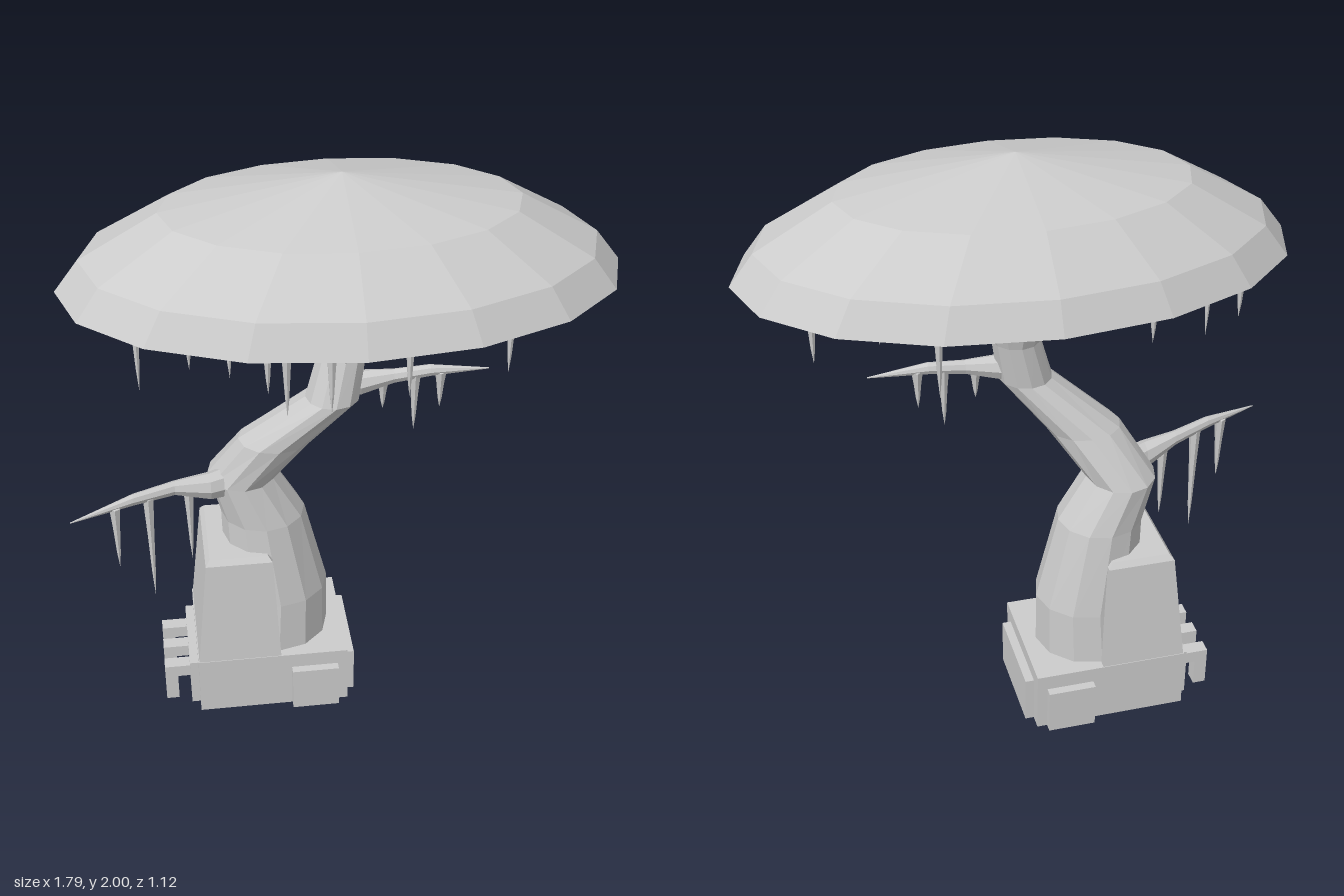
import * as THREE from 'three';

const mat = new THREE.MeshStandardMaterial({ color: 0xcccccc, flatShading: true, side: THREE.DoubleSide });

function add(parent, name, geo, x = 0, y = 0, z = 0) {
  const m = new THREE.Mesh(geo, mat);
  m.name = name;
  m.position.set(x, y, z);
  parent.add(m);
  return m;
}

// Skin a list of rings (arrays of [x, y, z]) and optionally cap both ends
function loft(rings, capStart = true, capEnd = true) {
  const n = rings[0].length, pos = rings.flat(2), idx = [];
  for (let r = 0; r < rings.length - 1; r++)
    for (let i = 0; i < n; i++) {
      const a = r * n + i, b = r * n + (i + 1) % n;
      idx.push(a, a + n, b, b, a + n, b + n);
    }
  const cap = (ring, start, flip) => {
    const c = pos.length / 3;
    pos.push(...[0, 1, 2].map(k => ring.reduce((s, p) => s + p[k], 0) / n));
    for (let i = 0; i < n; i++) {
      const p = start + i, q = start + (i + 1) % n;
      flip ? idx.push(c, p, q) : idx.push(c, q, p);
    }
  };
  if (capStart) cap(rings[0], 0, true);
  if (capEnd) cap(rings[rings.length - 1], (rings.length - 1) * n, false);
  const g = new THREE.BufferGeometry();
  g.setAttribute('position', new THREE.Float32BufferAttribute(pos, 3));
  g.setIndex(idx);
  g.computeVertexNormals();
  return g;
}

const circle = (n, f) => Array.from({ length: n }, (_, i) => {
  const t = (i / n) * Math.PI * 2;
  return f(Math.cos(t), Math.sin(t));
});
const rect = (y, x0, x1, z0, z1) => [[x0, y, z0], [x1, y, z0], [x1, y, z1], [x0, y, z1]];

// Box given by its limits
function block(parent, name, x0, x1, y0, y1, z0, z1) {
  return add(parent, name, new THREE.BoxGeometry(x1 - x0, y1 - y0, z1 - z0),
    (x0 + x1) / 2, (y0 + y1) / 2, (z0 + z1) / 2);
}

// Tapering side branch: stations [x, y, z, radius], dir = +1 or -1 along x
function branch(parent, name, stations, dir) {
  const rings = stations.map(([x, y, z, r]) => circle(8, (c, s) =>
    dir > 0 ? [x, y + s * r, z + c * r] : [x, y + c * r, z + s * r]));
  return add(parent, name, loft(rings), 0, 0, 0);
}

// Hanging spike from y = top to y = bottom
function spike(parent, name, x, top, bottom, z) {
  const l = top - bottom;
  const pts = [[0, -l], [0.007, -l * 0.75], [0.013, -l * 0.35], [0.02, 0], [0, 0.01]];
  add(parent, name, new THREE.LatheGeometry(pts.map(p => new THREE.Vector2(...p)), 6), x, top, z);
}

export function createModel() {
  const model = new THREE.Group();
  model.name = 'canopyTree';

  // Base block, open underneath
  const base = new THREE.Group();
  base.name = 'base';
  model.add(base);
  add(base, 'baseBlock', loft([rect(0, -0.51, 0.02, -0.34, 0.09), rect(0.22, -0.51, 0.02, -0.34, 0.09)], false, true));
  block(base, 'leftPlate', 0.02, 0.05, 0, 0.17, -0.29, 0.04);
  block(base, 'rightPlate', -0.54, -0.51, 0, 0.18, -0.29, 0.04);
  block(base, 'frontPlate', -0.18, -0.015, 0, 0.165, 0.09, 0.12);
  block(base, 'backPlate', -0.18, -0.015, 0, 0.165, -0.37, -0.34);

  // Three bent hooks on the right side
  for (const z of [-0.235, -0.125, -0.015]) {
    const shape = new THREE.Shape([[-0.49, 0.1], [-0.49, 0.145], [-0.63, 0.145], [-0.63, 0],
      [-0.585, 0], [-0.585, 0.1]].map(p => new THREE.Vector2(...p)));
    add(base, 'hook', new THREE.ExtrudeGeometry(shape, { depth: 0.05, bevelEnabled: false }), 0, 0, z - 0.025);
  }

  // Tapered tower with a chamfered top
  add(model, 'tower', loft([
    rect(0.19, -0.51, -0.215, -0.34, 0.09),
    rect(0.61, -0.465, -0.235, -0.305, 0.055),
    rect(0.63, -0.45, -0.25, -0.29, 0.04),
  ], false, true));

  // Bent trunk: y, centre x, centre z, radius x, radius z
  const trunk = [
    [0.03, -0.22, -0.125, 0.19, 0.19], [0.22, -0.22, -0.125, 0.19, 0.185],
    [0.41, -0.21, -0.125, 0.18, 0.175], [0.72, -0.25, -0.125, 0.145, 0.15],
    [0.88, -0.318, -0.125, 0.118, 0.135], [1.05, -0.205, -0.06, 0.125, 0.115],
    [1.23, -0.02, 0, 0.09, 0.098], [1.38, 0.015, -0.02, 0.08, 0.085],
    [1.5, 0.01, 0, 0.14, 0.14], [1.58, 0.01, 0, 0.29, 0.215],
  ];
  add(model, 'trunk', loft(trunk.map(([y, x, z, rx, rz]) =>
    circle(12, (c, s) => [x + c * rx, y, z + s * rz])), true, false));

  // Oval canopy with a shallow conical underside
  const profile = [[0.22, 1.55], [0.883, 1.66], [0.805, 1.76], [0.558, 1.9], [0, 2]];
  const canopy = add(model, 'canopy',
    new THREE.LatheGeometry(profile.map(p => new THREE.Vector2(...p)), 16), 0.01, 0, 0);
  canopy.scale.z = 0.632;

  // Side branches
  branch(model, 'rightBranch', [[-0.36, 0.875, -0.08, 0.055], [-0.43, 0.88, -0.045, 0.048],
    [-0.55, 0.905, -0.01, 0.025], [-0.69, 0.91, 0.05, 0.02], [-0.895, 0.895, 0.135, 0.002]], -1);
  branch(model, 'leftBranch', [[0, 1.27, 0, 0.045], [0.07, 1.27, 0, 0.042],
    [0.18, 1.285, 0, 0.024], [0.3, 1.297, 0, 0.02], [0.495, 1.29, 0, 0.002]], 1);

  // Spikes under the canopy: x, z, tip height
  const hanging = [
    [-0.685, -0.155, 1.43], [-0.64, 0, 1.29], [-0.48, 0.075, 1.4], [-0.385, -0.195, 1.4],
    [-0.355, 0.075, 1.36], [-0.25, 0.255, 1.4], [-0.2, 0.33, 1.36], [-0.065, 0.33, 1.36],
    [0.185, 0.255, 1.36], [0.3, -0.195, 1.3], [0.335, 0, 1.46], [0.45, 0, 1.4],
    [0.52, 0.155, 1.36], [0.67, -0.115, 1.43],
  ];
  for (const [x, z, tip] of hanging) {
    const r = Math.hypot((x - 0.01) / 0.883, z / 0.558);
    spike(model, 'canopySpike', x, 1.515 + 0.145 * r, tip, z);
  }

  // Spikes under the branches: x, top, tip, z
  for (const s of [[-0.75, 0.9, 0.66, 0.075], [-0.64, 0.9, 0.49, 0.03], [-0.505, 0.89, 0.6, -0.02],
    [0.145, 1.27, 1.165, 0], [0.25, 1.285, 1.075, 0], [0.335, 1.29, 1.155, 0]])
    spike(model, 'branchSpike', ...s);

  return model;
}
